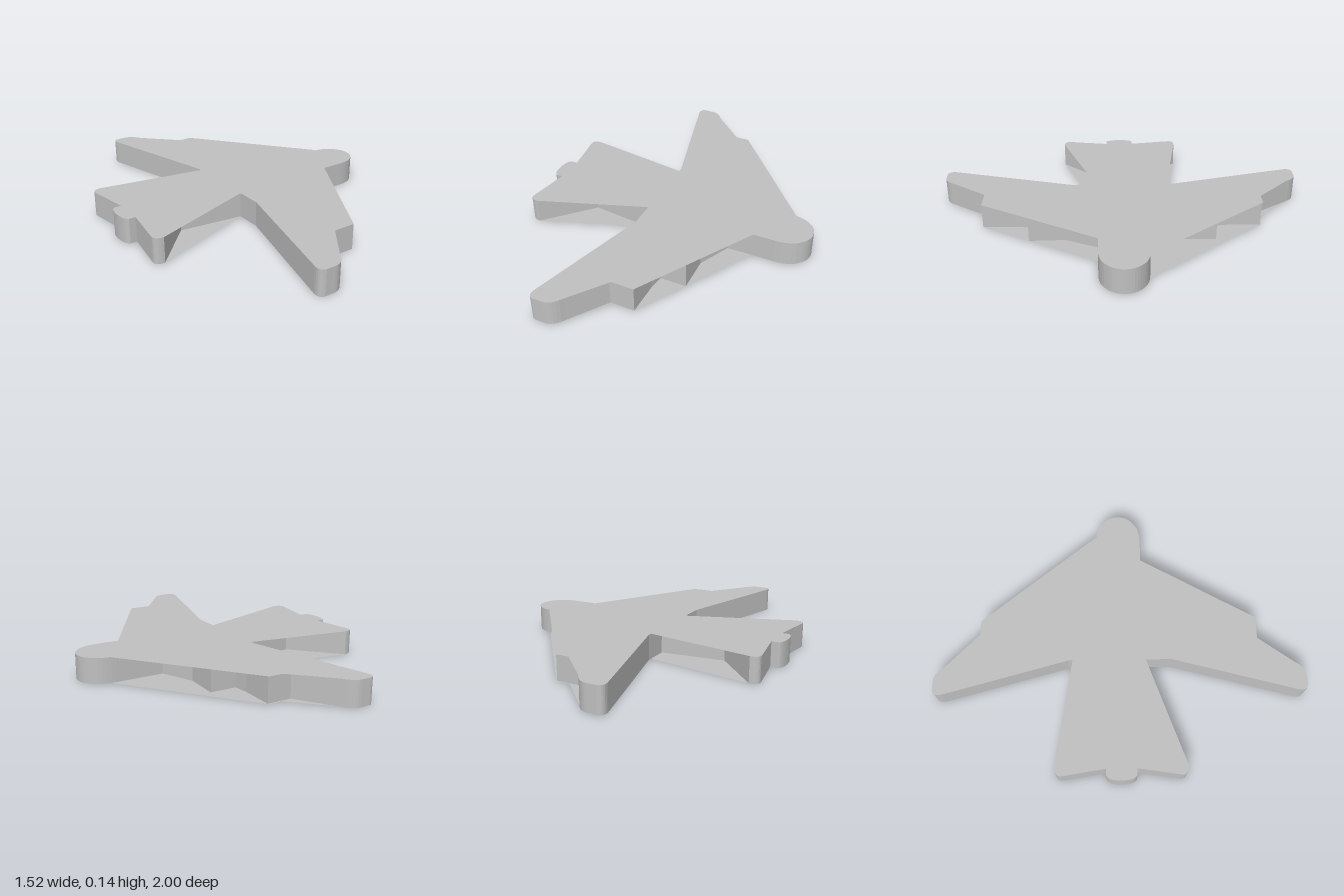
import * as THREE from 'three';

const HEIGHT = 0.135;

// Outline pieces for one side, nose to tail: [x, z] is a corner, [cx, cz, x, z] a rounded bend
const nose = [[0.76, 0], [0.76, 0.05, 0.72, 0.085], [0.68, 0.125, 0.6, 0.125]];
const wingTip = [[-0.14, 0.94], [-0.175, 1.0, -0.22, 1.0], [-0.27, 1.0], [-0.305, 0.995, -0.295, 0.95], [-0.115, 0.28]];
const tail = [[-0.69, 0.345], [-0.745, 0.345, -0.735, 0.3], [-0.7, 0.08], [-0.735, 0.08],
  [-0.76, 0.07, -0.762, 0]];

// Stepped leading edge with two pods, and the narrow rear body
const wallSide = [...nose, [0.345, 0.125], [0.265, 0.3], [0.27, 0.49], [0.13, 0.49], [0.12, 0.57],
  [0.12, 0.75], [-0.01, 0.75], ...wingTip, [-0.115, 0.14], [-0.46, 0.1], ...tail];
// The flat skins bridge the steps, differently on each side
const skinLeft = [...nose, [0.48, 0.125], [0.12, 0.75], [0.0, 0.75], ...wingTip, [-0.115, 0.14], ...tail];
const skinRight = [...nose, [0.63, 0.125], [0.12, 0.757], [0.045, 0.757], ...wingTip, [-0.115, 0.255], ...tail];

// Samples one side into points, bending through the rounded corners
function sample(side, mirror) {
  const points = [];
  for (const p of side) {
    if (p.length === 2) {
      points.push(new THREE.Vector2(p[0], p[1]));
    } else {
      const curve = new THREE.QuadraticBezierCurve(points[points.length - 1],
        new THREE.Vector2(p[0], p[1]), new THREE.Vector2(p[2], p[3]));
      points.push(...curve.getPoints(6).slice(1));
    }
  }
  return points.map((p) => new THREE.Vector2(p.x, p.y * mirror));
}

// Joins the left side with the mirrored right side into a closed loop
function outline(left, right) {
  return [...sample(left, 1), ...sample(right, -1).reverse().slice(1, -1)];
}

// Upright band that follows a closed outline
function bandGeometry(loop) {
  const positions = [];
  loop.forEach((a, i) => {
    const b = loop[(i + 1) % loop.length];
    positions.push(a.x, 0, a.y, a.x, HEIGHT, a.y, b.x, 0, b.y);
    positions.push(b.x, 0, b.y, a.x, HEIGHT, a.y, b.x, HEIGHT, b.y);
  });
  const geometry = new THREE.BufferGeometry();
  geometry.setAttribute('position', new THREE.Float32BufferAttribute(positions, 3));
  geometry.computeVertexNormals();
  return geometry;
}

// Flat sheet lying at a given height
function skinGeometry(loop, y) {
  const shape = new THREE.Shape(loop.map((p) => new THREE.Vector2(p.x, -p.y)));
  return new THREE.ShapeGeometry(shape).rotateX(-Math.PI / 2).translate(0, y, 0);
}

export function createModel() {
  const group = new THREE.Group();
  group.name = 'jetCutout';
  const grey = new THREE.MeshStandardMaterial({ color: 0xc0c0c0, side: THREE.DoubleSide });
  grey.name = 'light grey';

  const add = (name, geometry) => {
    const mesh = new THREE.Mesh(geometry, grey);
    mesh.name = name;
    group.add(mesh);
  };

  const skin = outline(skinLeft, skinRight);
  add('sideWall', bandGeometry(outline(wallSide, wallSide)));
  add('topSkin', skinGeometry(skin, HEIGHT));
  add('bottomSkin', skinGeometry(skin, 0));
  return group;
}
